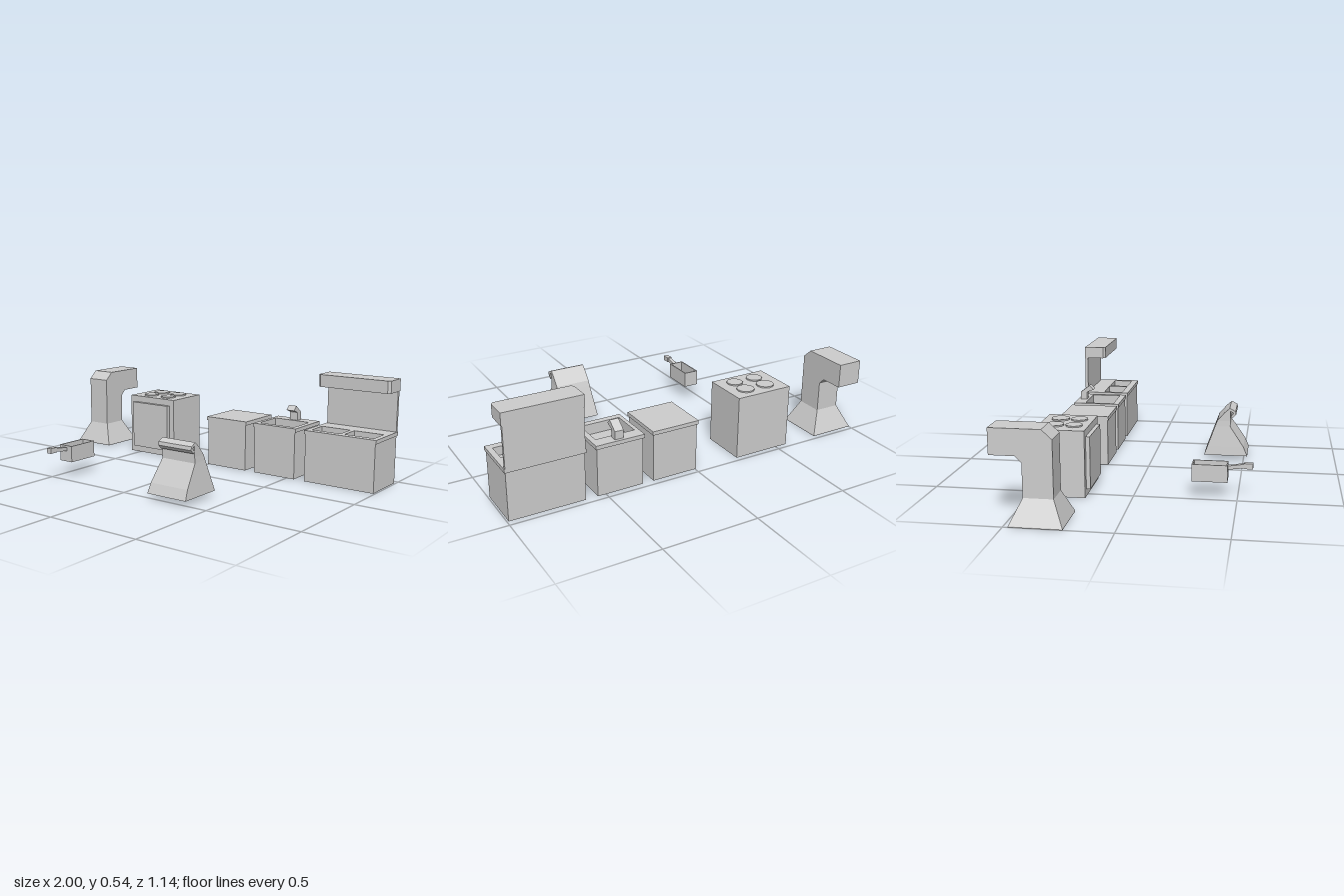
import * as THREE from 'three';

export function createModel() {
  const root = new THREE.Group();
  root.name = 'kitchenSet';
  const grey = new THREE.MeshStandardMaterial({ color: 0xcccccc });
  grey.name = 'plain grey';

  const group = (name) => {
    const g = new THREE.Group();
    g.name = name;
    root.add(g);
    return g;
  };
  const add = (parent, name, geometry) => {
    const m = new THREE.Mesh(geometry, grey);
    m.name = name;
    parent.add(m);
    return m;
  };
  // Box given by its limits
  const box = (parent, name, x0, x1, y0, y1, z0, z1) => {
    const g = new THREE.BoxGeometry(x1 - x0, y1 - y0, z1 - z0);
    g.translate((x0 + x1) / 2, (y0 + y1) / 2, (z0 + z1) / 2);
    return add(parent, name, g);
  };
  // Side profile of [z, y] points, extruded from x0 to x1
  const profile = (parent, name, points, x0, x1) => {
    const shape = new THREE.Shape(points.map(([z, y]) => new THREE.Vector2(-z, y)));
    const g = new THREE.ExtrudeGeometry(shape, { depth: x1 - x0, bevelEnabled: false });
    g.rotateY(Math.PI / 2).translate(x0, 0, 0);
    return add(parent, name, g);
  };
  // Flat outline of [x, z] points with rectangular holes, extruded from y0 to y1
  const slab = (parent, name, points, holes, y0, y1) => {
    const to2 = (list) => list.map(([x, z]) => new THREE.Vector2(x, -z));
    const shape = new THREE.Shape(to2(points));
    for (const h of holes) shape.holes.push(new THREE.Path(to2(rect(...h))));
    const g = new THREE.ExtrudeGeometry(shape, { depth: y1 - y0, bevelEnabled: false });
    g.rotateX(-Math.PI / 2).translate(0, y0, 0);
    return add(parent, name, g);
  };
  const rect = (x0, x1, z0, z1) => [[x0, z1], [x1, z1], [x1, z0], [x0, z0]];
  // Closed loft through rectangles [y, x0, x1, z0, z1] from bottom to top
  const loft = (parent, name, sections) => {
    const pos = [];
    const loops = sections.map(([y, ...r]) => rect(...r).map(([x, z]) => [x, y, z]));
    const quad = (a, b, c, d) => pos.push(...a, ...b, ...c, ...a, ...c, ...d);
    for (let k = 0; k + 1 < loops.length; k++) {
      for (let i = 0; i < 4; i++) {
        const j = (i + 1) % 4;
        quad(loops[k][i], loops[k][j], loops[k + 1][j], loops[k + 1][i]);
      }
    }
    quad(...[...loops[0]].reverse());
    quad(...loops[loops.length - 1]);
    const g = new THREE.BufferGeometry();
    g.setAttribute('position', new THREE.Float32BufferAttribute(pos, 3));
    g.computeVertexNormals();
    return add(parent, name, g);
  };

  // Extractor hood with bent duct
  const hood = group('extractorHood');
  loft(hood, 'hoodFlare', [
    [0, -1, -0.756, -0.475, -0.23],
    [0.005, -1, -0.756, -0.475, -0.23],
    [0.12, -0.945, -0.813, -0.42, -0.28],
  ]);
  profile(hood, 'hoodDuct', [
    [-0.28, 0.12], [-0.28, 0.39], [-0.328, 0.434], [-0.57, 0.434],
    [-0.57, 0.31], [-0.45, 0.31], [-0.42, 0.28], [-0.42, 0.12],
  ], -0.945, -0.813);

  // Stove
  const stove = group('stove');
  box(stove, 'stoveBody', -0.566, -0.251, 0, 0.333, -0.473, -0.225);
  box(stove, 'ovenDoor', -0.535, -0.283, 0.037, 0.298, -0.225, -0.205);
  for (const x of [-0.468, -0.346]) {
    for (const [z, r] of [[-0.295, 0.042], [-0.392, 0.046]]) {
      const g = new THREE.CylinderGeometry(r, r, 0.008, 12);
      g.translate(x, 0.336, z);
      add(stove, 'burner', g);
    }
  }

  // Counter units: body, optional basins, overhanging worktop
  const counter = (name, x0, x1, basins, floorY) => {
    const g = group(name);
    const b = [x0 + 0.006, x1 - 0.006, -0.468, -0.222];
    box(g, 'cabinet', b[0], b[1], 0, floorY, b[2], b[3]);
    if (basins.length) slab(g, 'basinWalls', rect(...b), basins, floorY, 0.25);
    slab(g, 'worktop', rect(x0, x1, -0.475, -0.217), basins, 0.25, 0.27);
    return g;
  };
  counter('plainCounter', -0.011, 0.246, [], 0.25);

  // Sink with tap
  const sink = counter('sinkCounter', 0.292, 0.549, [[0.313, 0.521, -0.41, -0.25]], 0.215);
  profile(sink, 'tap', [
    [-0.459, 0.27], [-0.422, 0.27], [-0.422, 0.313], [-0.411, 0.305],
    [-0.383, 0.328], [-0.407, 0.352], [-0.459, 0.312],
  ].filter((_, i) => i !== 3), 0.397, 0.443);

  // Serving unit with two trays, back panel and overhead canopy
  const serving = counter('servingCounter', 0.599, 0.998,
    [[0.625, 0.786, -0.363, -0.254], [0.81, 0.97, -0.363, -0.254]], 0.225);
  box(serving, 'backPanel', 0.603, 0.994, 0.27, 0.479, -0.475, -0.459);
  slab(serving, 'canopy', [
    [0.599, -0.475], [0.599, -0.366], [0.612, -0.353],
    [0.985, -0.353], [0.998, -0.366], [0.998, -0.475],
  ], [], 0.479, 0.543);

  // Paper bag with rolled top
  const bag = group('paperBag');
  loft(bag, 'bagBody', [
    [0.03, 0.168, 0.398, 0.285, 0.522],
    [0.08, 0.173, 0.393, 0.303, 0.5],
    [0.19, 0.185, 0.381, 0.342, 0.425],
    [0.22, 0.187, 0.379, 0.353, 0.425],
    [0.268, 0.187, 0.379, 0.394, 0.425],
    [0.291, 0.187, 0.379, 0.42, 0.425],
  ]);
  profile(bag, 'rolledTop', [
    [0.423, 0.292], [0.453, 0.276], [0.456, 0.258], [0.437, 0.239],
    [0.428, 0.248], [0.441, 0.262], [0.438, 0.27], [0.423, 0.276],
  ], 0.185, 0.381);

  // Fryer basket with handle
  const basket = group('fryerBasket');
  box(basket, 'basketFloor', -0.485, -0.402, 0.083, 0.09, 0.279, 0.451);
  slab(basket, 'basketWalls', rect(-0.485, -0.402, 0.279, 0.451),
    [[-0.479, -0.408, 0.285, 0.445]], 0.09, 0.168);
  profile(basket, 'handleShaft', [
    [0.451, 0.14], [0.451, 0.158], [0.53, 0.17], [0.53, 0.15],
  ], -0.455, -0.434);
  box(basket, 'handleGrip', -0.458, -0.431, 0.147, 0.174, 0.528, 0.571);

  return root;
}
